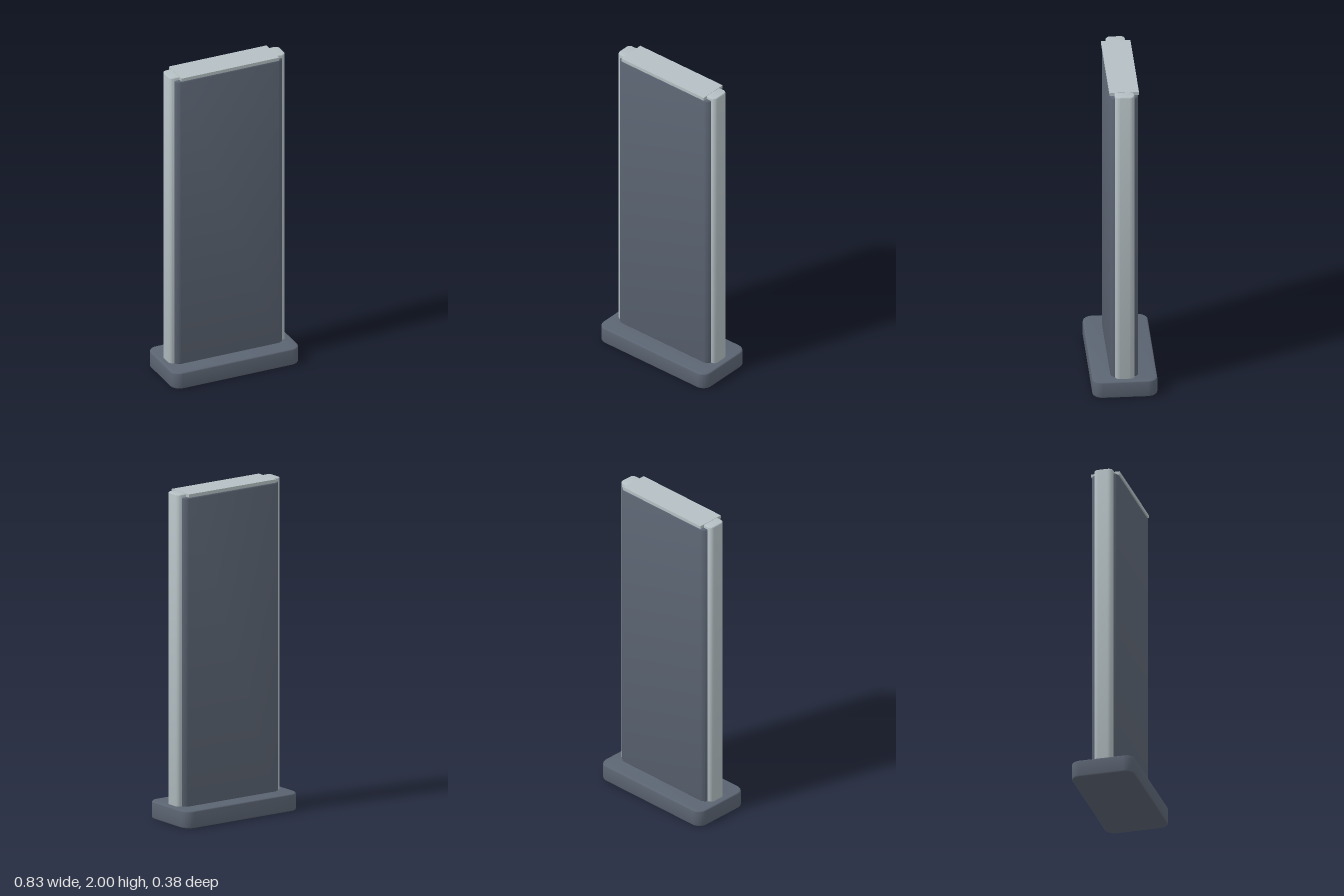
import * as THREE from 'three';
import { toCreasedNormals } from 'three/addons/utils/BufferGeometryUtils.js';

// Upright slab: rounded rectangle in plan (x, z), softly bevelled top and bottom
function roundedSlab(width, depth, y0, y1, radius, bevel) {
  const w = width / 2 - bevel, d = depth / 2 - bevel, r = radius - bevel;
  const s = new THREE.Shape();
  s.moveTo(-w + r, -d);
  s.lineTo(w - r, -d);
  s.absarc(w - r, -d + r, r, -Math.PI / 2, 0);
  s.lineTo(w, d - r);
  s.absarc(w - r, d - r, r, 0, Math.PI / 2);
  s.lineTo(-w + r, d);
  s.absarc(-w + r, d - r, r, Math.PI / 2, Math.PI);
  s.lineTo(-w, -d + r);
  s.absarc(-w + r, -d + r, r, Math.PI, Math.PI * 1.5);
  const g = new THREE.ExtrudeGeometry(s, {
    depth: y1 - y0 - 2 * bevel, bevelEnabled: true, bevelSize: bevel,
    bevelThickness: bevel, bevelSegments: 3, curveSegments: 10,
  });
  g.rotateX(-Math.PI / 2);
  g.translate(0, y0 + bevel, 0);
  return toCreasedNormals(g, 0.7);
}

export function createModel() {
  const group = new THREE.Group();
  const slate = new THREE.MeshStandardMaterial({ color: 0x5b6472 });
  slate.name = 'slate grey';
  const silver = new THREE.MeshStandardMaterial({ color: 0xb5c0c4 });
  silver.name = 'pale silver';

  const add = (name, geometry, material, x = 0) => {
    const mesh = new THREE.Mesh(geometry, material);
    mesh.name = name;
    mesh.position.x = x;
    group.add(mesh);
  };

  // Foot and main panel
  add('base', roundedSlab(0.828, 0.384, 0, 0.105, 0.06, 0.008), slate);
  add('panel', roundedSlab(0.71, 0.166, 0.1, 1.978, 0.045, 0.008), slate);

  // Side rails, partly sunk into the panel edges
  for (const side of [-1, 1]) {
    add(side > 0 ? 'leftRail' : 'rightRail',
      roundedSlab(0.11, 0.115, 0.1, 1.998, 0.028, 0.006), silver, side * 0.323);
  }

  // Flat cap overhanging the panel's faces
  const cap = new THREE.BoxGeometry(0.636, 0.02, 0.174);
  cap.translate(0, 1.99, 0);
  add('topCap', cap, silver);

  return group;
}
